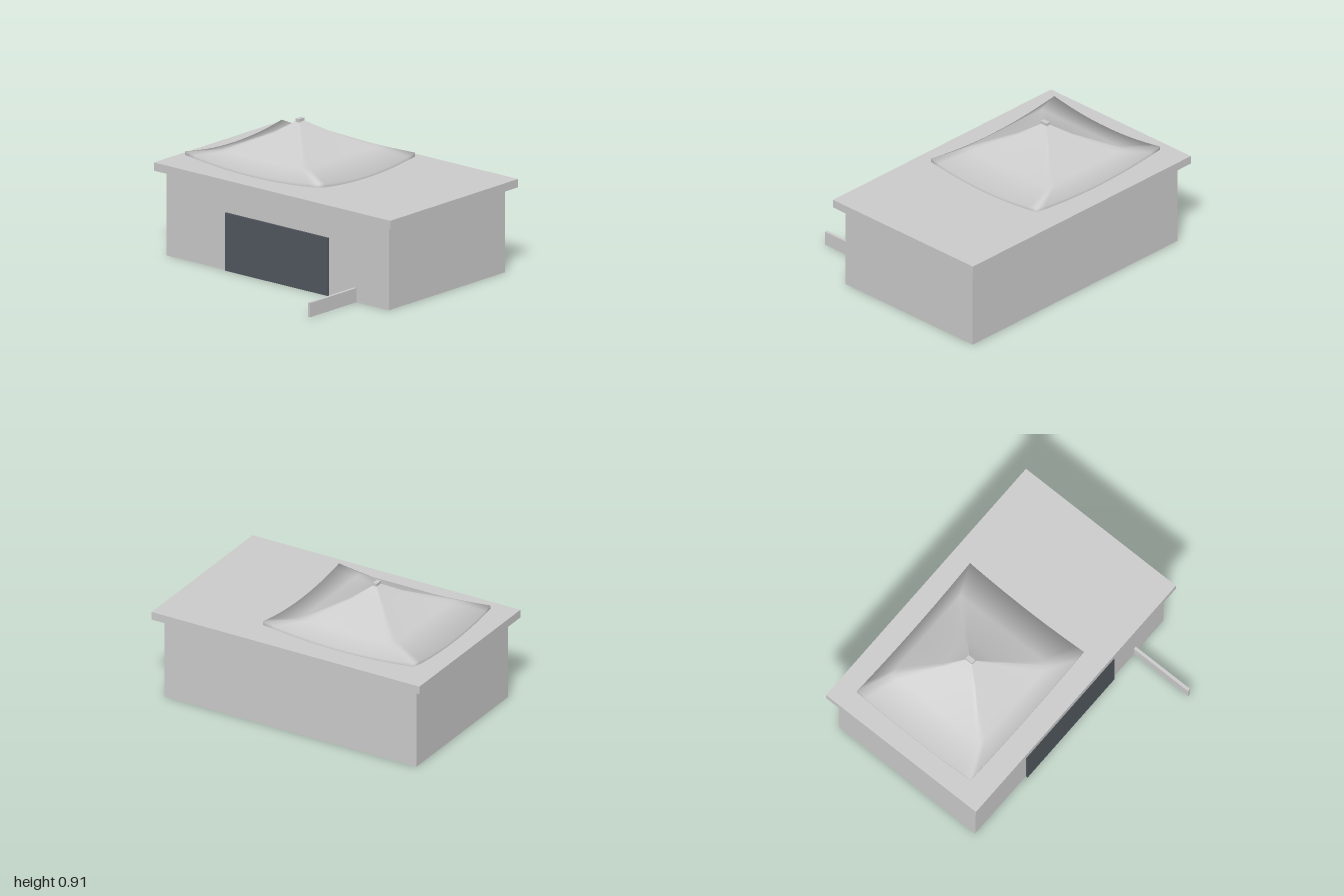
import * as THREE from 'three';

const lightGrey = new THREE.MeshStandardMaterial({ color: 0xcccccc });
lightGrey.name = 'light grey';
const canopyGrey = new THREE.MeshStandardMaterial({ color: 0xcccccc, side: THREE.DoubleSide });
canopyGrey.name = 'canopy grey';
const slate = new THREE.MeshStandardMaterial({ color: 0x52585f });
slate.name = 'slate';

// Box given by its limits on each axis
function block(name, material, [x0, x1], [y0, y1], [z0, z1]) {
  const mesh = new THREE.Mesh(new THREE.BoxGeometry(x1 - x0, y1 - y0, z1 - z0), material);
  mesh.position.set((x0 + x1) / 2, (y0 + y1) / 2, (z0 + z1) / 2);
  mesh.name = name;
  return mesh;
}

// Stretched canopy: rectangular rings lofted from the sagging hem to the peak
function canopyGeometry() {
  const rings = [ // half width, half depth, corner height, sag at mid edge
    [0.47, 0.565, 0.66, 0.037],
    [0.47, 0.565, 0.685, 0.045],
    [0.37, 0.345, 0.715, 0],
    [0.13, 0.115, 0.825, 0],
    [0.025, 0.015, 0.893, 0],
  ];
  const corners = [[1, 1], [1, -1], [-1, -1], [-1, 1]];
  const perSide = 14, count = perSide * 4;
  const positions = [], indices = [];
  for (const [w, d, h, sag] of rings) {
    for (let j = 0; j < count; j++) {
      const side = Math.floor(j / perSide), t = (j % perSide) / perSide;
      const a = corners[side], b = corners[(side + 1) % 4];
      positions.push(
        w * (a[0] + (b[0] - a[0]) * t),
        h - sag * 4 * t * (1 - t),
        d * (a[1] + (b[1] - a[1]) * t));
    }
  }
  for (let i = 0; i < rings.length - 1; i++) {
    for (let j = 0; j < count; j++) {
      const k = (j + 1) % count;
      const a = i * count + j, b = i * count + k;
      indices.push(a, b, b + count, a, b + count, a + count);
    }
  }
  // Close the tip
  const tip = (rings.length - 1) * count;
  for (let j = 1; j < count - 1; j++) indices.push(tip, tip + j, tip + j + 1);

  const geometry = new THREE.BufferGeometry();
  geometry.setAttribute('position', new THREE.Float32BufferAttribute(positions, 3));
  geometry.setIndex(indices);
  geometry.computeVertexNormals();

  // Roll the normals outward at the hem so that its edge reads as rounded
  const normals = geometry.attributes.normal;
  for (let i = 0; i < 2 * count; i++) {
    const j = i % count, side = Math.floor(j / perSide);
    const n = new THREE.Vector3(...[[1, 0, 0], [0, 0, -1], [-1, 0, 0], [0, 0, 1]][side]);
    if (j % perSide === 0) n.set(corners[side][0], 0, corners[side][1]).normalize();
    n.y = i < count ? 0.1 : 0.5;
    n.normalize();
    normals.setXYZ(i, n.x, n.y, n.z);
  }
  return geometry;
}

export function createModel() {
  const model = new THREE.Group();
  model.name = 'building';

  // Main volume and overhanging flat roof
  model.add(block('walls', lightGrey, [-0.37, 0.76], [0, 0.565], [-0.94, 0.94]));
  model.add(block('roofSlab', lightGrey, [-0.425, 0.82], [0.565, 0.62], [-1, 1]));

  // Dark opening panel and low wall on the right side
  model.add(block('doorPanel', slate, [-0.385, -0.37], [0, 0.385], [-0.435, 0.435]));
  model.add(block('lowWall', lightGrey, [-0.82, -0.37], [0, 0.095], [0.645, 0.665]));

  // Tensioned canopy with its cap
  const canopy = new THREE.Mesh(canopyGeometry(), canopyGrey);
  canopy.name = 'canopy';
  canopy.position.set(0.2, 0, -0.305);
  model.add(canopy);
  model.add(block('canopyCap', lightGrey, [0.17, 0.225], [0.885, 0.912], [-0.32, -0.29]));

  return model;
}
